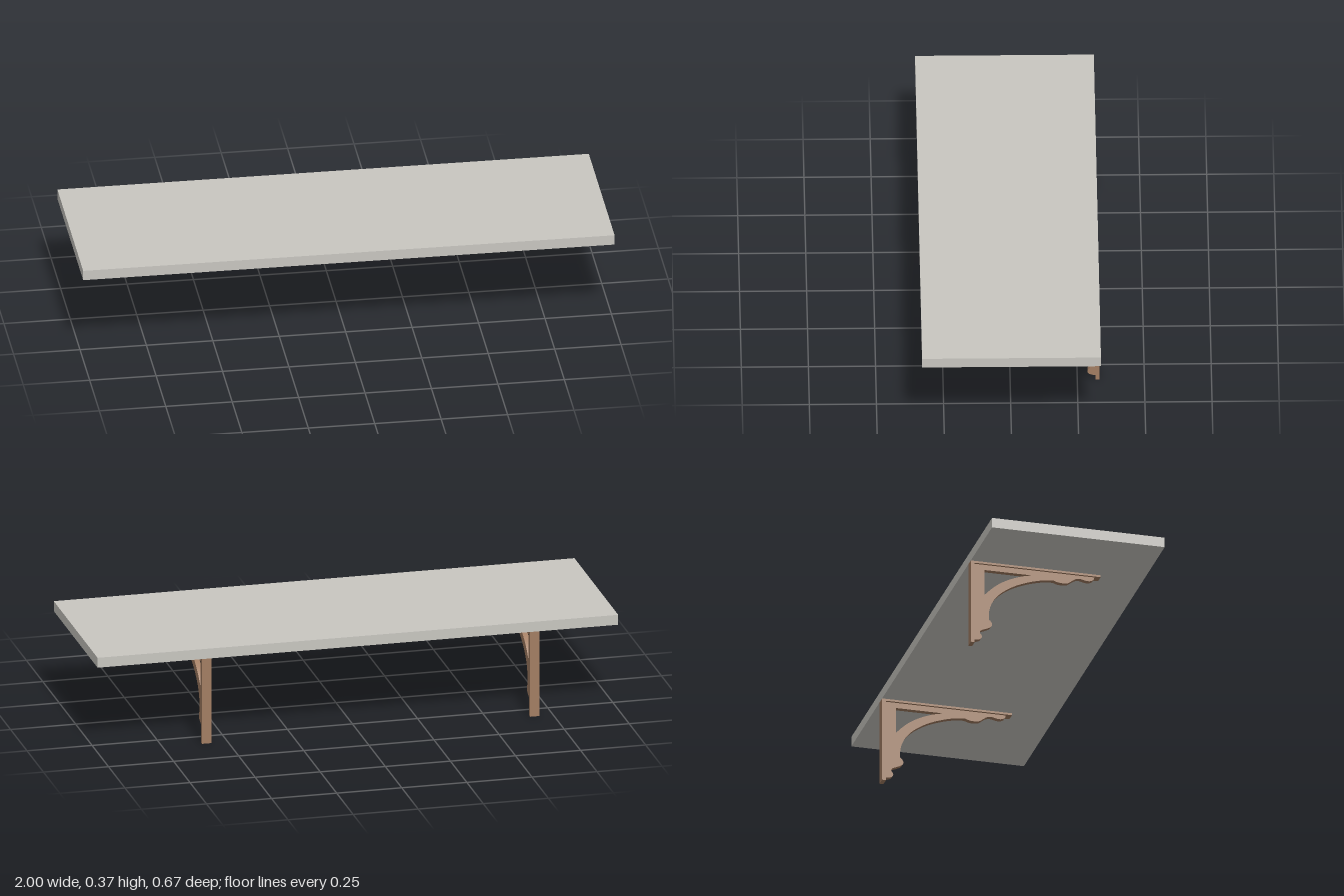
import * as THREE from 'three';
import { toCreasedNormals } from 'three/addons/utils/BufferGeometryUtils.js';

const shelfMat = new THREE.MeshStandardMaterial({ color: 0xc8c6c0 });
shelfMat.name = 'pale grey';
const woodMat = new THREE.MeshStandardMaterial({ color: 0xa27d62 });
woodMat.name = 'warm brown';

const toVectors = (pts) => pts.map(([z, y]) => new THREE.Vector2(z, y));

function box(name, material, w, y0, y1, z0, z1) {
  const mesh = new THREE.Mesh(new THREE.BoxGeometry(w, y1 - y0, z1 - z0), material);
  mesh.position.set(0, (y0 + y1) / 2, (z0 + z1) / 2);
  mesh.name = name;
  return mesh;
}

// Side profile of the carved brace, as (z, y)
function braceShape() {
  const shape = new THREE.Shape();
  shape.moveTo(-0.319, 0.327);
  shape.lineTo(0.146, 0.327);
  // front scroll
  shape.splineThru(toVectors([
    [0.143, 0.316], [0.131, 0.309], [0.115, 0.308], [0.09, 0.313], [0.074, 0.31],
    [0.06, 0.301], [0.044, 0.29], [0.024, 0.287], [0.004, 0.289], [-0.01, 0.294],
  ]));
  // sweeping arch
  shape.splineThru(toVectors([
    [-0.051, 0.29], [-0.104, 0.276], [-0.158, 0.254], [-0.203, 0.226],
    [-0.235, 0.195], [-0.253, 0.163], [-0.261, 0.131], [-0.261, 0.103],
  ]));
  // lower scroll
  shape.splineThru(toVectors([
    [-0.253, 0.096], [-0.249, 0.083], [-0.256, 0.072], [-0.274, 0.063], [-0.29, 0.056],
    [-0.296, 0.046], [-0.288, 0.033], [-0.292, 0.022], [-0.304, 0.016], [-0.319, 0.015],
  ]));
  shape.closePath();

  // curved triangular opening
  const hole = new THREE.Path();
  hole.moveTo(-0.094, 0.305);
  hole.lineTo(-0.278, 0.305);
  hole.lineTo(-0.278, 0.203);
  hole.splineThru(toVectors([[-0.238, 0.242], [-0.194, 0.271], [-0.14, 0.294], [-0.094, 0.305]]));
  shape.holes.push(hole);
  return shape;
}

function braceGeometry() {
  const width = 0.02;
  const geo = new THREE.ExtrudeGeometry(braceShape(), { depth: width, bevelEnabled: false, curveSegments: 36 });
  geo.translate(0, 0, -width / 2);
  geo.rotateY(-Math.PI / 2);
  return toCreasedNormals(geo, 0.6);
}

export function createModel() {
  const model = new THREE.Group();
  model.name = 'wallShelf';
  model.add(box('shelfBoard', shelfMat, 2, 0.334, 0.373, -0.333, 0.333));

  // Two matching brackets
  const braceGeo = braceGeometry();
  for (const [name, x] of [['rightBracket', -0.68], ['leftBracket', 0.58]]) {
    const bracket = new THREE.Group();
    bracket.name = name;
    bracket.position.x = x;
    const brace = new THREE.Mesh(braceGeo, woodMat);
    brace.name = 'carvedBrace';
    bracket.add(
      box('wallPlate', woodMat, 0.037, 0, 0.334, -0.333, -0.318),
      box('topPlate', woodMat, 0.037, 0.326, 0.334, -0.318, 0.168),
      brace,
    );
    model.add(bracket);
  }
  return model;
}
